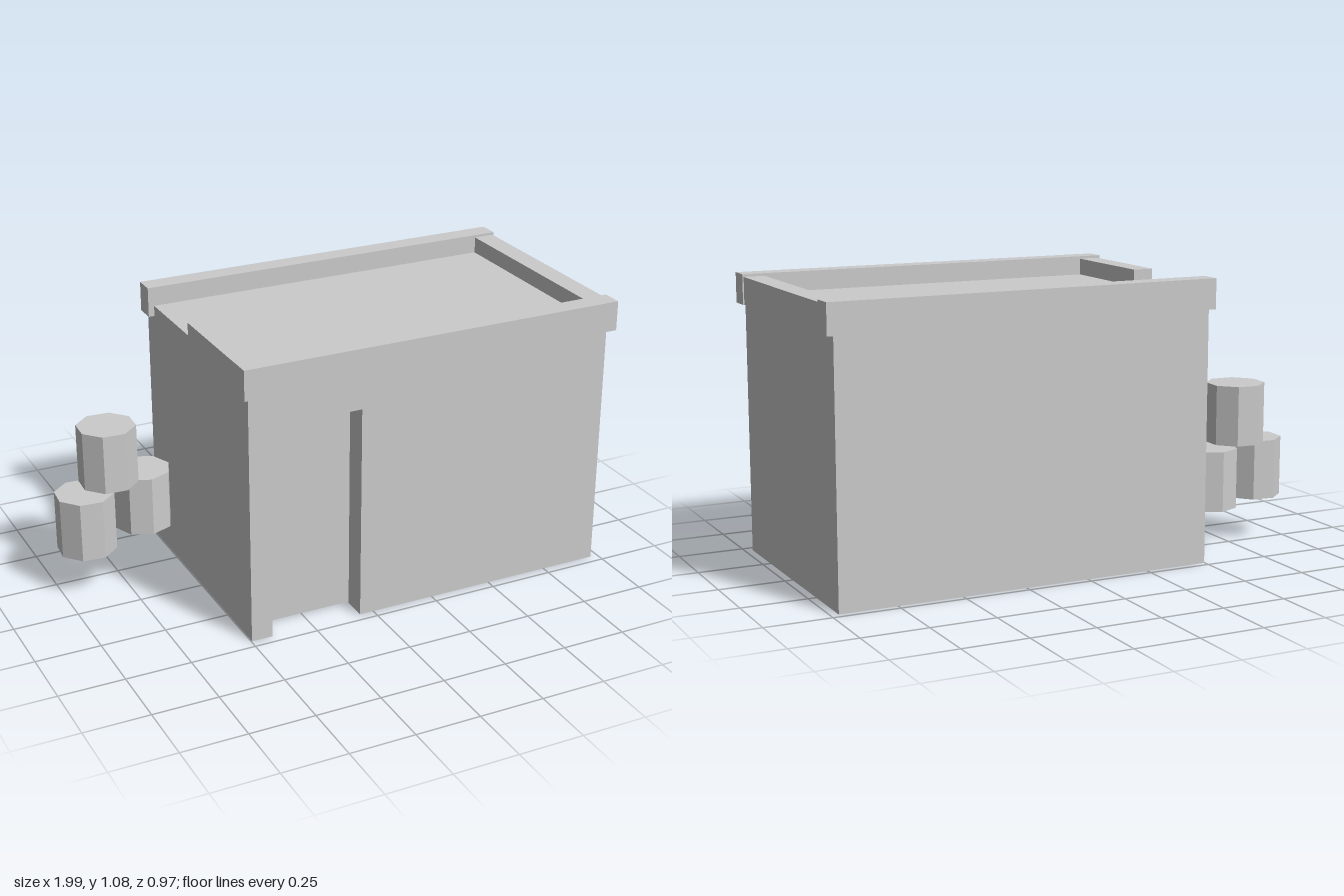
import * as THREE from 'three';

const material = new THREE.MeshStandardMaterial({ color: 0xcccccc, flatShading: true, side: THREE.DoubleSide });

// Building extents, and the door recess cut into the front wall
const X0 = -0.497, X1 = 0.97, Z0 = -0.475, Z1 = 0.463, H = 1.006;
const DOOR = { x0: -0.415, x1: -0.055, y0: 0.006, y1: 0.837, z: 0.368 };

function add(parent, name, geometry) {
  const mesh = new THREE.Mesh(geometry, material);
  mesh.name = name;
  parent.add(mesh);
  return mesh;
}

// Box given by its minimum and maximum corners
function block(parent, name, [x0, y0, z0], [x1, y1, z1]) {
  add(parent, name, new THREE.BoxGeometry(x1 - x0, y1 - y0, z1 - z0))
    .position.set((x0 + x1) / 2, (y0 + y1) / 2, (z0 + z1) / 2);
}

// Flat panel from four corners, counter-clockwise as seen from its front
function panel(parent, name, a, b, c, d) {
  const geometry = new THREE.BufferGeometry();
  geometry.setAttribute('position', new THREE.Float32BufferAttribute([a, b, c, d].flat(), 3));
  geometry.setIndex([0, 1, 2, 0, 2, 3]);
  geometry.computeVertexNormals();
  add(parent, name, geometry);
}

function createBuilding() {
  const g = new THREE.Group();
  g.name = 'building';

  // Front wall with the doorway notched out of its lower edge
  const { x0, x1, y0, y1, z } = DOOR;
  const front = new THREE.Shape([
    [X0, 0], [x0, 0], [x0, y1], [x1, y1], [x1, 0], [X1, 0], [X1, H], [X0, H],
  ].map(([x, y]) => new THREE.Vector2(x, y)));
  add(g, 'frontWall', new THREE.ShapeGeometry(front)).position.z = Z1;

  // Remaining walls and flat roof; the underside is open
  panel(g, 'backWall', [X1, 0, Z0], [X0, 0, Z0], [X0, H, Z0], [X1, H, Z0]);
  panel(g, 'leftWall', [X1, 0, Z1], [X1, 0, Z0], [X1, H, Z0], [X1, H, Z1]);
  panel(g, 'rightWall', [X0, 0, Z0], [X0, 0, Z1], [X0, H, Z1], [X0, H, Z0]);
  panel(g, 'roof', [X0, H, Z1], [X1, H, Z1], [X1, H, Z0], [X0, H, Z0]);

  // Recessed door with jambs and head
  panel(g, 'door', [x0, y0, z], [x1, y0, z], [x1, y1, z], [x0, y1, z]);
  panel(g, 'rightJamb', [x0, 0, Z1], [x0, 0, z], [x0, y1, z], [x0, y1, Z1]);
  panel(g, 'leftJamb', [x1, 0, z], [x1, 0, Z1], [x1, y1, Z1], [x1, y1, z]);
  panel(g, 'doorHead', [x0, y1, z], [x1, y1, z], [x1, y1, Z1], [x0, y1, Z1]);
  return g;
}

// Edge beams that sit around the roof and hang slightly below it
function createParapet() {
  const g = new THREE.Group();
  g.name = 'parapet';
  const y = 0.965;
  block(g, 'frontParapet', [-0.52, y, 0.407], [0.997, 1.08, 0.487]);
  block(g, 'backParapet', [-0.52, y, -0.487], [0.997, 1.08, -0.407]);
  block(g, 'leftParapet', [0.91, y, -0.407], [0.992, 1.07, 0.407]);
  // The right side is only half covered
  block(g, 'rightParapet', [-0.511, y, -0.035], [-0.431, 1.07, 0.407]);
  return g;
}

// Three eight-sided barrels, one stacked on the other two, open underneath
function createBarrels() {
  const g = new THREE.Group();
  g.name = 'barrels';
  const r = 0.114, h = 0.233;
  for (const [x, y, z, turn] of [
    [-0.889, 0.168, -0.186, 0.31],
    [-0.622, 0.168, -0.288, 0],
    [-0.773, 0.401, -0.237, 0.34],
  ]) {
    const barrel = new THREE.Group();
    barrel.name = 'barrel';
    add(barrel, 'barrelSide', new THREE.CylinderGeometry(r, r, h, 8, 1, true));
    const lid = add(barrel, 'barrelLid', new THREE.CircleGeometry(r, 8));
    lid.rotation.x = -Math.PI / 2;
    lid.position.y = h / 2;
    barrel.position.set(x, y + h / 2, z);
    barrel.rotation.y = turn;
    g.add(barrel);
  }
  return g;
}

export function createModel() {
  const model = new THREE.Group();
  model.name = 'flatRoofedHut';
  model.add(createBuilding(), createParapet(), createBarrels());
  return model;
}
